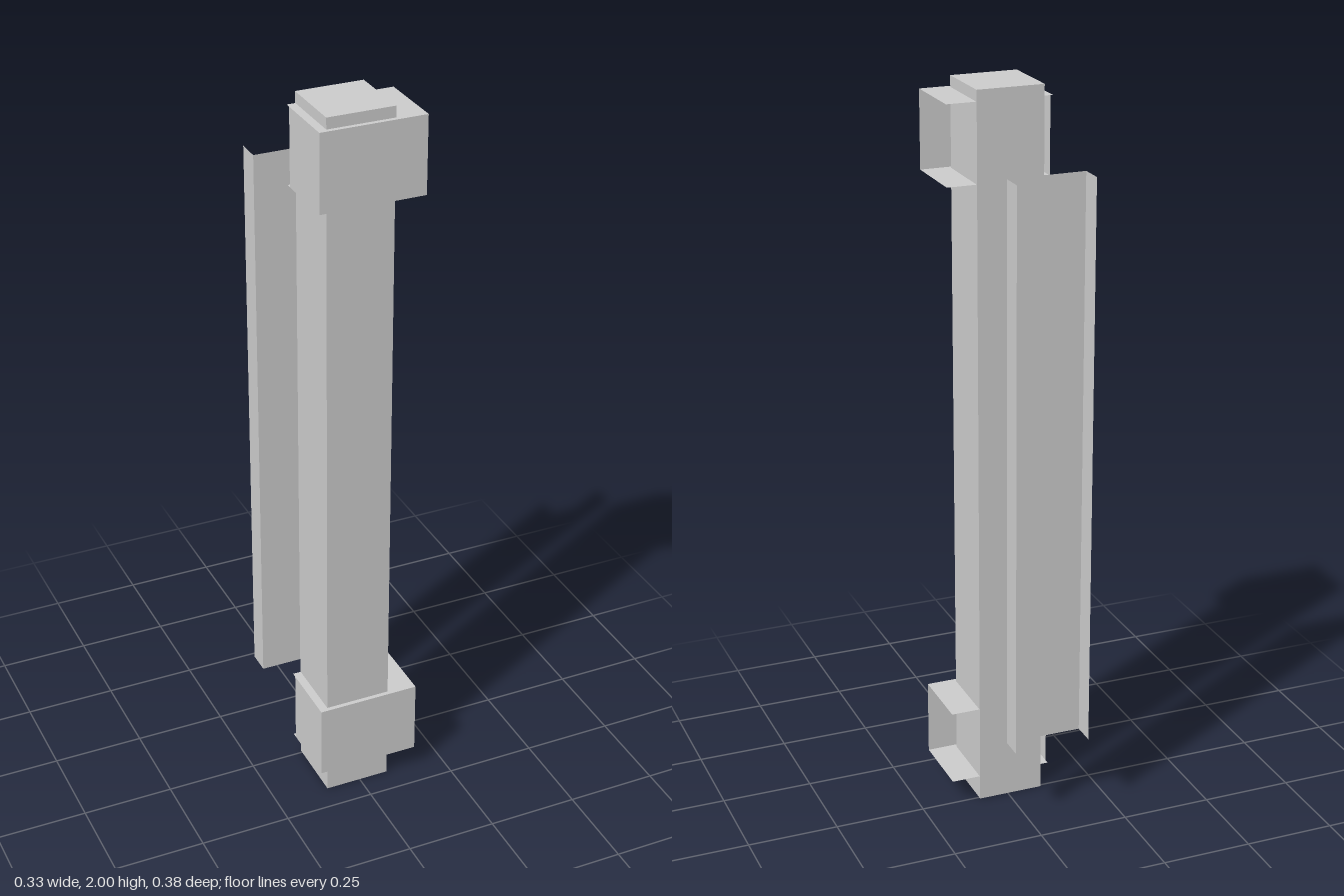
import * as THREE from 'three';

const solid = new THREE.MeshStandardMaterial({ color: 0xcccccc, flatShading: true });
const sheetMaterial = new THREE.MeshStandardMaterial({ color: 0xcccccc, flatShading: true, side: THREE.DoubleSide });

// Flat sheet centred between two corners; one axis has no extent
function sheet(name, a, b) {
  const [w, h, d] = a.map((v, i) => Math.abs(b[i] - v));
  let geometry;
  if (d === 0) geometry = new THREE.PlaneGeometry(w, h);
  else if (w === 0) geometry = new THREE.PlaneGeometry(d, h).rotateY(Math.PI / 2);
  else geometry = new THREE.PlaneGeometry(w, d).rotateX(-Math.PI / 2);
  const mesh = new THREE.Mesh(geometry, sheetMaterial);
  mesh.name = name;
  mesh.position.set(...a.map((v, i) => (v + b[i]) / 2));
  return mesh;
}

// Folded bracket: front, one side, top and bottom; open towards +x and the back
function bracket(name, y0, y1) {
  const x0 = -0.122, x1 = 0.163, z0 = -0.005, z1 = 0.189;
  const group = new THREE.Group();
  group.name = name;
  group.add(
    sheet('bracketFront', [x0, y0, z1], [x1, y1, z1]),
    sheet('bracketSide', [x0, y0, 0.01], [x0, y1, z1]),
    sheet('bracketTop', [x0, y1, z0], [x1, y1, z1]),
    sheet('bracketBottom', [x0, y0, z0], [x1, y0, z1])
  );
  return group;
}

// Back channel: a web with two flanges pointing backwards
function channel() {
  const x0 = -0.163, x1 = 0.05, y0 = 0.23, y1 = 1.8, zWeb = -0.124, zBack = -0.189;
  const group = new THREE.Group();
  group.name = 'backChannel';
  group.add(sheet('channelWeb', [x0, y0, zWeb], [x1, y1, zWeb]));
  for (const x of [x0, x1]) group.add(sheet('channelFlange', [x, y0, zBack], [x, y1, zWeb]));
  return group;
}

export function createModel() {
  const model = new THREE.Group();
  model.name = 'bracketedPost';

  // Square post
  const post = new THREE.Mesh(new THREE.BoxGeometry(0.182, 2, 0.184), solid);
  post.name = 'post';
  post.position.set(-0.008, 1, 0.085);

  model.add(post, bracket('lowerBracket', 0.07, 0.28), bracket('upperBracket', 1.76, 1.97), channel());
  return model;
}
